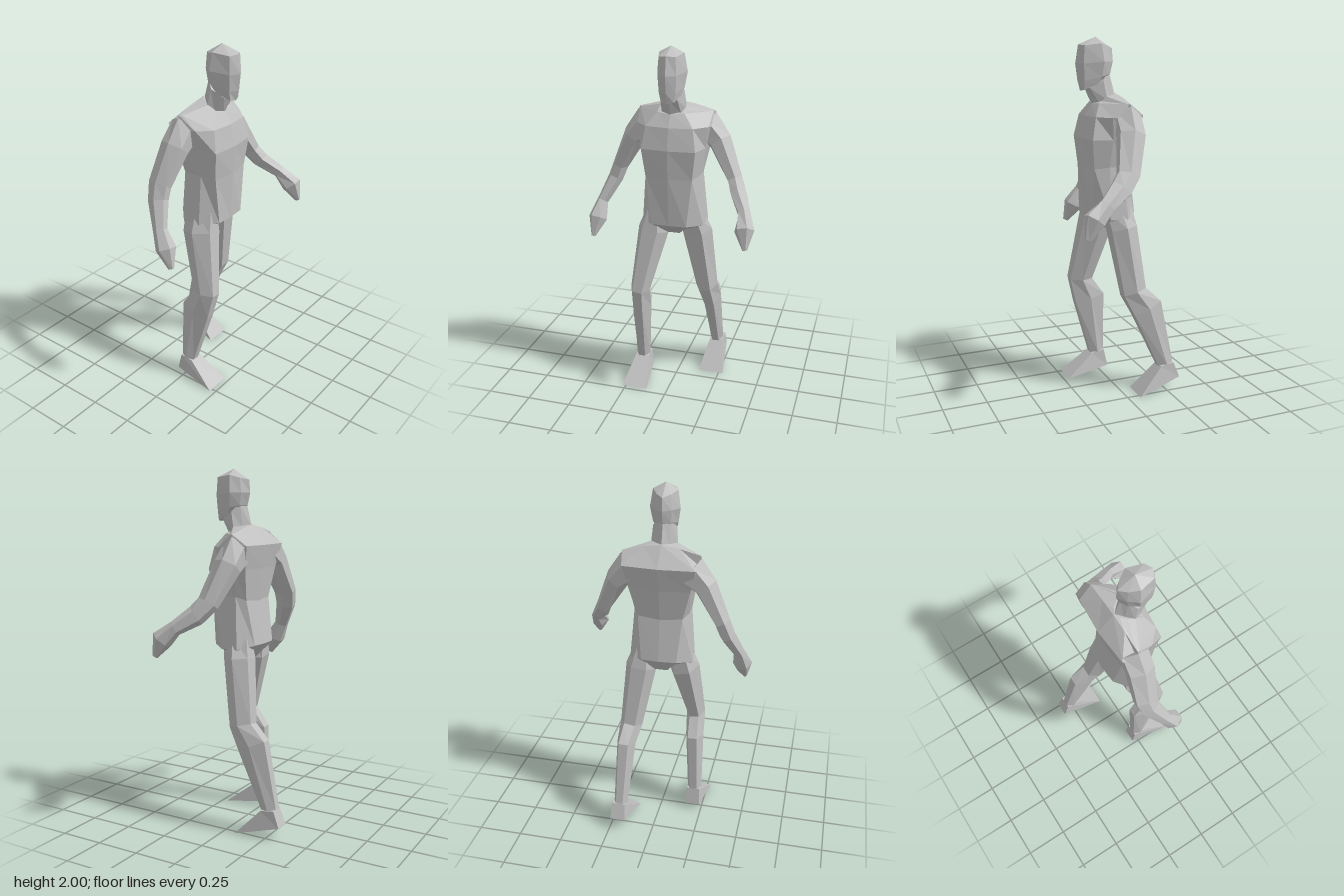
import * as THREE from 'three';

const grey = new THREE.MeshStandardMaterial({ color: 0xc0c0c0 });
grey.name = 'plain grey';

const V = (x, y, z) => new THREE.Vector3(x, y, z);

// Faceted skin over closed rings of points, with fan caps (optional apex on the last ring)
function loft(name, rings, apex) {
  const pos = [];
  const tri = (...pts) => pts.forEach((p) => pos.push(p.x, p.y, p.z));
  const centre = (ring) => ring.reduce((s, p) => s.add(p), V(0, 0, 0)).divideScalar(ring.length);
  const n = rings[0].length;
  const first = rings[0], last = rings[rings.length - 1];
  const start = centre(first), end = apex || centre(last);
  for (let k = 0; k < n; k++) {
    const m = (k + 1) % n;
    for (let i = 0; i < rings.length - 1; i++) {
      const a = rings[i], b = rings[i + 1];
      tri(a[k], a[m], b[k]);
      tri(a[m], b[m], b[k]);
    }
    tri(start, first[m], first[k]);
    tri(end, last[k], last[m]);
  }
  const geo = new THREE.BufferGeometry();
  geo.setAttribute('position', new THREE.Float32BufferAttribute(pos, 3));
  geo.computeVertexNormals();
  const mesh = new THREE.Mesh(geo, grey);
  mesh.name = name;
  return mesh;
}

// Symmetric ring from its left half, listed from front centre to back centre
function mirrorRing(half) {
  const left = half.map((p) => V(...p));
  const right = half.slice(1, -1).reverse().map(([x, y, z]) => V(-x, y, z));
  return [...left, ...right];
}

// Six-sided limb; each section is [x, y, z, sideRadius, frontRadius], square to the path
function limb(name, sections) {
  const c = sections.map((s) => V(s[0], s[1], s[2]));
  const rings = sections.map(([, , , ru, rv], i) => {
    const t = c[Math.min(i + 1, c.length - 1)].clone().sub(c[Math.max(i - 1, 0)]).normalize();
    const u = V(0, 0, 1).cross(t).normalize();
    const v = t.clone().cross(u);
    return Array.from({ length: 6 }, (_, k) => {
      const a = (k * Math.PI) / 3;
      return c[i].clone()
        .addScaledVector(u, ru * Math.cos(a))
        .addScaledVector(v, (rv / 0.866) * Math.sin(a));
    });
  });
  return loft(name, rings);
}

// Wedge foot from an ankle square to a sole that flares at the toes
function foot(name, x, ankleY, ankleZ, heelY, heelZ, toeZ) {
  const quad = (back, front) => [
    V(x + back[0], back[1], back[2]), V(x + front[0], front[1], front[2]),
    V(x - front[0], front[1], front[2]), V(x - back[0], back[1], back[2]),
  ];
  return loft(name, [
    quad([0.038, ankleY + 0.01, ankleZ - 0.04], [0.04, ankleY, ankleZ + 0.04]),
    quad([0.043, heelY, heelZ], [0.075, 0, toeZ]),
  ]);
}

export function createModel() {
  const model = new THREE.Group();
  model.name = 'walkingFigure';

  // Torso, from crotch through hips, waist, chest and shoulders to the neck base
  model.add(loft('torso', [
    [[0, 0.95, 0.05], [0.035, 0.95, 0.05], [0.05, 0.96, 0.03], [0.05, 0.96, 0], [0.035, 0.95, -0.03], [0, 0.95, -0.03]],
    [[0, 1.03, 0.16], [0.1, 1.03, 0.155], [0.175, 1.02, 0.07], [0.18, 1.02, -0.03], [0.1, 1.04, -0.1], [0, 1.04, -0.108]],
    [[0, 1.3, 0.17], [0.13, 1.3, 0.15], [0.155, 1.31, 0.07], [0.155, 1.31, -0.01], [0.125, 1.29, -0.06], [0, 1.28, -0.07]],
    [[0, 1.46, 0.18], [0.15, 1.46, 0.165], [0.18, 1.46, 0.06], [0.19, 1.46, -0.02], [0.17, 1.46, -0.08], [0, 1.46, -0.095]],
    [[0, 1.58, 0.155], [0.13, 1.58, 0.14], [0.2, 1.58, 0.07], [0.225, 1.58, -0.03], [0.2, 1.59, -0.105], [0, 1.59, -0.12]],
    [[0, 1.645, 0.115], [0.075, 1.65, 0.1], [0.205, 1.65, -0.01], [0.215, 1.65, -0.025], [0.1, 1.68, -0.028], [0, 1.695, -0.03]],
    [[0, 1.65, 0.11], [0.055, 1.66, 0.085], [0.072, 1.685, 0.055], [0.055, 1.69, 0.02], [0.03, 1.695, -0.01], [0, 1.697, -0.027]],
  ].map(mirrorRing)));

  // Neck, leaning forward, ridged at the back
  model.add(loft('neck', [
    [[0, 1.62, 0.105], [0.055, 1.64, 0.085], [0.075, 1.665, 0.05], [0.038, 1.67, 0.01], [0, 1.68, -0.025]],
    [[0, 1.73, 0.15], [0.045, 1.73, 0.14], [0.066, 1.77, 0.07], [0.035, 1.81, 0.035], [0, 1.82, 0.012]],
  ].map(mirrorRing)));

  // Head with a flat face, jaw, ridged back and peaked crown
  model.add(loft('head', [
    [[0, 1.715, 0.18], [0.035, 1.72, 0.17], [0.058, 1.75, 0.1], [0.035, 1.77, 0.065], [0, 1.77, 0.045]],
    [[0, 1.77, 0.195], [0.045, 1.77, 0.17], [0.07, 1.79, 0.08], [0.04, 1.8, 0.03], [0, 1.8, 0.005]],
    [[0, 1.86, 0.207], [0.05, 1.86, 0.175], [0.083, 1.87, 0.07], [0.045, 1.87, 0.02], [0, 1.87, -0.012]],
    [[0, 1.96, 0.19], [0.045, 1.955, 0.17], [0.068, 1.965, 0.08], [0.038, 1.95, 0.03], [0, 1.94, -0.006]],
  ].map(mirrorRing), V(0, 2, 0.09)));

  // Arms, each running from shoulder through elbow and wrist to fingertips
  model.add(limb('leftArm', [
    [0.155, 1.565, -0.025, 0.098, 0.07],
    [0.245, 1.485, -0.015, 0.066, 0.07],
    [0.345, 1.295, 0.045, 0.042, 0.058],
    [0.378, 1.23, 0.1, 0.044, 0.055],
    [0.43, 1.16, 0.2, 0.035, 0.038],
    [0.447, 1.095, 0.275, 0.054, 0.052],
    [0.46, 1.0, 0.315, 0.012, 0.015],
  ]));
  model.add(limb('rightArm', [
    [-0.155, 1.565, -0.025, 0.098, 0.07],
    [-0.245, 1.485, -0.03, 0.066, 0.07],
    [-0.343, 1.3, -0.055, 0.045, 0.06],
    [-0.373, 1.22, -0.045, 0.043, 0.052],
    [-0.435, 1.09, 0.015, 0.032, 0.036],
    [-0.45, 1.0, 0.065, 0.054, 0.05],
    [-0.465, 0.9, 0.11, 0.012, 0.015],
  ]));

  // Legs: the right one strides forward, the left one trails
  model.add(limb('leftLeg', [
    [0.105, 1.08, 0.01, 0.055, 0.075],
    [0.12, 0.96, -0.015, 0.088, 0.075],
    [0.17, 0.6, -0.065, 0.065, 0.068],
    [0.185, 0.5, -0.14, 0.055, 0.088],
    [0.195, 0.15, -0.255, 0.04, 0.045],
  ]));
  model.add(limb('rightLeg', [
    [-0.105, 1.08, 0.035, 0.055, 0.085],
    [-0.12, 0.96, 0.045, 0.088, 0.092],
    [-0.18, 0.61, 0.125, 0.056, 0.068],
    [-0.185, 0.48, 0.07, 0.053, 0.09],
    [-0.2, 0.13, 0.02, 0.042, 0.042],
  ]));

  // Feet
  model.add(foot('leftFoot', 0.2, 0.15, -0.255, 0.07, -0.33, -0.07));
  model.add(foot('rightFoot', -0.197, 0.125, 0.02, 0.035, -0.04, 0.22));

  return model;
}
